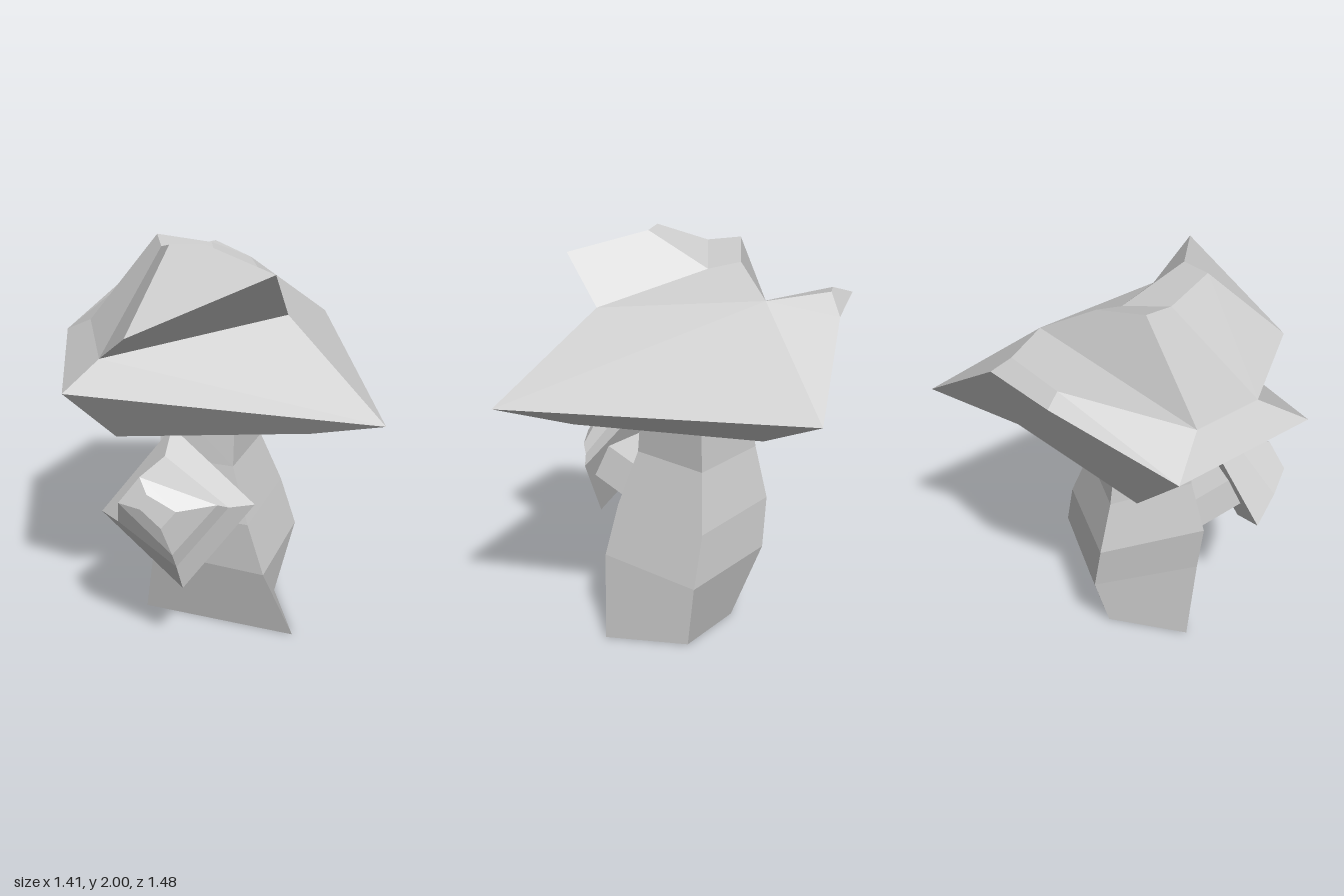
import * as THREE from 'three';

const material = new THREE.MeshStandardMaterial({ color: 0xcccccc, side: THREE.DoubleSide });

// Mesh of polygons, each a counter-clockwise list of corners with one shared facet normal
function facetMesh(name, polygons) {
  const pos = [], nor = [];
  const a = new THREE.Vector3(), b = new THREE.Vector3();
  for (const p of polygons) {
    const n = new THREE.Vector3();
    p.forEach((c, i) => n.add(a.fromArray(c).cross(b.fromArray(p[(i + 1) % p.length]))));
    n.normalize();
    for (let i = 1; i < p.length - 1; i++)
      for (const c of [p[0], p[i], p[i + 1]]) {
        pos.push(...c);
        nor.push(n.x, n.y, n.z);
      }
  }
  const geo = new THREE.BufferGeometry();
  geo.setAttribute('position', new THREE.Float32BufferAttribute(pos, 3));
  geo.setAttribute('normal', new THREE.Float32BufferAttribute(nor, 3));
  const mesh = new THREE.Mesh(geo, material);
  mesh.name = name;
  return mesh;
}

// Skin between successive rings: open at the first, closed at the last
function loft(name, rings) {
  const polygons = [rings[rings.length - 1]];
  for (let k = 0; k < rings.length - 1; k++) {
    const a = rings[k], b = rings[k + 1], n = a.length;
    for (let i = 0; i < n; i++) {
      const j = (i + 1) % n;
      polygons.push([a[j], b[j], b[i], a[i]]);
    }
  }
  return facetMesh(name, polygons);
}

function makeCap() {
  // Widest rim
  const A = [-0.71, 1.41, -0.4], E = [-0.695, 1.38, 0.42];
  const D = [0.705, 1.32, 0.74], C = [0.68, 1.37, -0.74];
  // Rear bevel
  const B = [-0.26, 1.71, -0.73], R = [0.16, 1.7, -0.725];
  const Q1 = [-0.21, 1.74, -0.64], Q2 = [0.07, 1.79, -0.67];
  // Ridge across the back of the crown
  const p1 = [-0.58, 1.53, -0.18], p2 = [-0.245, 1.95, -0.18];
  const p3 = [0.02, 1.89, -0.24], p4 = [0.23, 1.77, -0.4];
  // Crown
  const p5 = [-0.23, 1.93, -0.02], p6 = [0.03, 1.85, -0.085];
  const p7 = [-0.2, 2, 0.225], p8 = [-0.045, 2, 0.225];
  // Overhanging brow at the front
  const p9 = [-0.41, 1.67, 0.53], p10 = [0.24, 1.94, 0.53];
  const p11 = [0.32, 1.71, 0.365], p12 = [-0.53, 1.48, 0.25];
  // Lower rim and the recess above it
  const lower = [[0.43, 1.17, 0.46], [0.41, 1.17, -0.44], [-0.45, 1.17, -0.41], [-0.46, 1.17, 0.43]];
  const [Db, Cb, Ab, Eb] = lower;
  const inner = lower.map(([x, y, z]) => [x * 0.83, 1.42, z * 0.83]);
  const recess = lower.map((c, i) => [lower[(i + 1) % 4], c, inner[i], inner[(i + 1) % 4]]);

  return facetMesh('cap', [
    [D, p11, p12, E], [E, p12, p1, A], [D, C, p4, p11], [R, Q2, p4, C], [R, B, Q1, Q2],
    [p1, p4, Q2, Q1], [p1, Q1, A], [Q1, B, A],
    [p2, p3, p4, p1], [p1, p12, p5, p2], [p12, p9, p7, p5], [p9, p10, p8, p7],
    [p11, p6, p8, p10], [p4, p3, p6, p11], [p2, p5, p6, p3], [p5, p7, p8, p6],
    [p12, p11, p10, p9],
    [A, Ab, Eb, E], [E, Eb, Db, D], [D, Db, Cb, C], [Cb, Ab, A, B, R, C],
    ...recess, [...inner].reverse(),
  ]);
}

export function createModel() {
  const group = new THREE.Group();
  group.name = 'mushroom';

  // Four-sided stem: height, then x,z of the front, right, back and left corners
  const stemRows = [
    [0, 0.39, 0.35, 0.35, -0.07, 0.01, -0.215, -0.34, 0.03],
    [0.385, 0.23, 0.395, 0.46, -0.13, -0.06, -0.36, -0.3, 0.13],
    [0.64, 0.155, 0.345, 0.38, -0.15, -0.12, -0.365, -0.33, 0.14],
    [0.915, 0.09, 0.255, 0.265, -0.12, -0.125, -0.3, -0.26, 0.11],
    [1.24, 0.1, 0.225, 0.26, -0.11, -0.12, -0.25, -0.24, 0.08],
  ];
  group.add(loft('stem', stemRows.map(([y, ...c]) =>
    [0, 2, 4, 6].map((i) => [c[i], y, c[i + 1]]))));

  group.add(makeCap());

  // Side stem: a slanted bar running from inside the main stem to the small cap
  const barEnd = [[0.05, 0.74, 0.5], [0.03, 0.9, 0.43], [-0.33, 0.88, 0.3], [-0.37, 0.73, 0.355]];
  const barRoot = barEnd.map(([x, y, z]) => [x + 0.1, y - 0.12, z - 0.29]);
  group.add(loft('sideStem', [barRoot, barEnd]));

  // Small cap, its corners in the order right, top, left, bottom
  const rim = [[0.17, 0.84, 0.51], [-0.2, 1.13, 0.25], [-0.545, 0.72, 0.3], [-0.17, 0.43, 0.555]];
  group.add(loft('sideCap', [
    rim,
    [[0.045, 0.85, 0.55], [-0.24, 1.05, 0.4], [-0.465, 0.77, 0.5], [-0.2, 0.565, 0.585]],
    [[-0.01, 0.88, 0.58], [-0.36, 1.02, 0.55], [-0.46, 0.9, 0.565], [-0.22, 0.65, 0.62]],
    [[-0.2, 0.875, 0.625], [-0.33, 0.955, 0.6], [-0.36, 0.88, 0.6], [-0.27, 0.8, 0.64]],
  ]));
  group.add(facetMesh('sideCapUnderside', [[...rim].reverse()]));

  return group;
}
